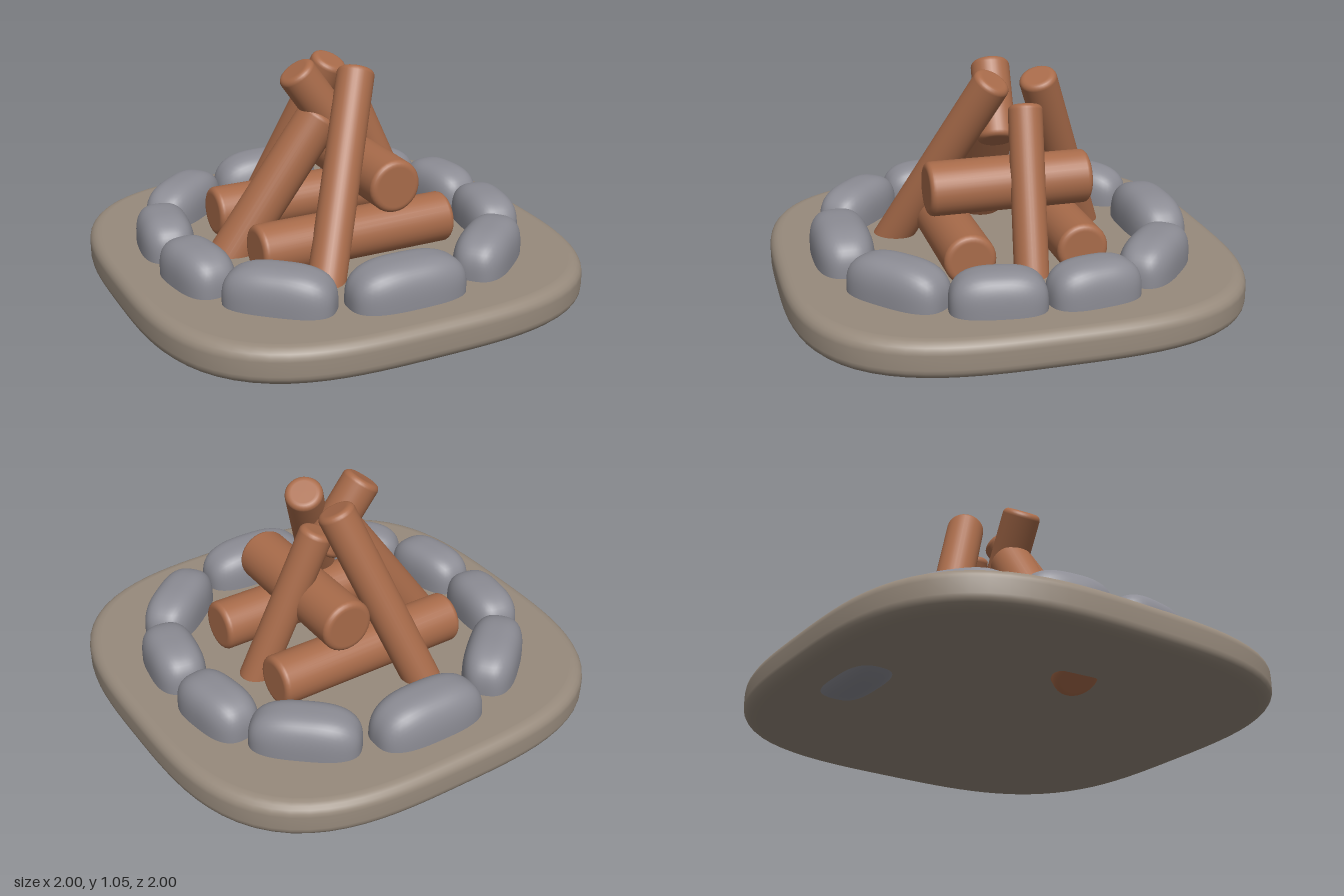
import * as THREE from 'three';
import { mergeVertices } from 'three/addons/utils/BufferGeometryUtils.js';

const mat = (name, color) => new THREE.MeshStandardMaterial({ name, color });

// weld seams and recompute smooth normals
function smooth(geo) {
  geo.deleteAttribute('uv');
  geo.deleteAttribute('normal');
  const g = mergeVertices(geo, 1e-4);
  g.computeVertexNormals();
  return g;
}

// upright solid of revolution with rounded rims, from y0 to y1
function roundedDisc(radius, y0, y1, bevel, sides) {
  const p = [new THREE.Vector2(0, y0), new THREE.Vector2(radius - bevel - 0.005, y0)];
  for (const [cy, start] of [[y0 + bevel, -Math.PI / 2], [y1 - bevel, 0]]) {
    for (let i = 0; i <= 5; i++) {
      const a = start + (i / 5) * Math.PI / 2;
      p.push(new THREE.Vector2(radius - bevel + bevel * Math.cos(a), cy + bevel * Math.sin(a)));
    }
  }
  p.push(new THREE.Vector2(radius - bevel - 0.005, y1), new THREE.Vector2(0, y1));
  return new THREE.LatheGeometry(p, sides);
}

// squarish ground slab: a disc pushed out to a superellipse
function slabGeometry() {
  const geo = roundedDisc(1, 0.085, 0.245, 0.05, 96);
  const pos = geo.attributes.position, n = 3.2;
  for (let i = 0; i < pos.count; i++) {
    const x = pos.getX(i), z = pos.getZ(i), r = Math.hypot(x, z);
    if (r < 1e-6) continue;
    const k = Math.pow(Math.abs(x / r) ** n + Math.abs(z / r) ** n, -1 / n);
    pos.setX(i, x * k);
    pos.setZ(i, z * k);
  }
  return smooth(geo);
}

// boxy pebble: a unit sphere pushed out to a superellipsoid
function pebbleGeometry() {
  const geo = new THREE.IcosahedronGeometry(1, 10);
  const pos = geo.attributes.position, v = new THREE.Vector3(), n = 2.9;
  for (let i = 0; i < pos.count; i++) {
    v.fromBufferAttribute(pos, i);
    const sum = Math.abs(v.x) ** n + Math.abs(v.y) ** n + Math.abs(v.z) ** n;
    v.multiplyScalar(Math.pow(sum, -1 / n));
    pos.setXYZ(i, v.x, v.y, v.z);
  }
  return smooth(geo);
}

// log running between two points
function makeLog(name, a, b, radius, material) {
  const from = new THREE.Vector3(...a), to = new THREE.Vector3(...b);
  const dir = to.clone().sub(from);
  const mesh = new THREE.Mesh(smooth(roundedDisc(radius, 0, dir.length(), 0.025, 32)), material);
  mesh.name = name;
  mesh.position.copy(from);
  mesh.quaternion.setFromUnitVectors(new THREE.Vector3(0, 1, 0), dir.normalize());
  return mesh;
}

export function createModel() {
  const earth = mat('earth', 0x978a7c);
  const rock = mat('rock', 0x8c8c94);
  const wood = mat('wood', 0xa86b4a);
  const model = new THREE.Group();
  model.name = 'campfire';

  const slab = new THREE.Mesh(slabGeometry(), earth);
  slab.name = 'groundSlab';
  model.add(slab);

  // ring of stones
  const ring = new THREE.Group();
  ring.name = 'stoneRing';
  const pebble = pebbleGeometry();
  const addStone = (x, z, turn, size, y = 0.262) => {
    const stone = new THREE.Mesh(pebble, rock);
    stone.name = 'stone';
    stone.position.set(x, y, z);
    stone.rotation.y = turn;
    stone.scale.set(...size);
    ring.add(stone);
  };
  addStone(0, 0.71, 0, [0.26, 0.16, 0.13]);
  addStone(0, -0.72, 0, [0.26, 0.187, 0.13], 0.237);
  for (const sx of [-1, 1]) {
    for (const sz of [-1, 1]) {
      addStone(sx * 0.49, sz * 0.555, sx * sz * 0.71, [0.235, 0.155, 0.12]);
      addStone(sx * 0.705, sz * 0.2 - 0.005, sx * sz * 1.42, [0.2, 0.152, 0.118]);
    }
  }
  model.add(ring);

  // stacked and leaning logs
  const logs = new THREE.Group();
  logs.name = 'logs';
  const list = [
    ['frontLyingLog', [-0.46, 0.345, 0.24], [0.455, 0.345, 0.24], 0.112],
    ['backLyingLog', [-0.46, 0.345, -0.25], [0.455, 0.345, -0.25], 0.112],
    ['crossLog', [0.147, 0.57, -0.36], [0.147, 0.57, 0.36], 0.118],
    ['frontLeaningLog', [-0.27, 0.13, 0.49], [0.11, 1.02, 0.05], 0.083],
    ['backLeaningLog', [-0.19, 0.2, -0.46], [0.085, 1.02, -0.15], 0.083],
    ['rightLeaningLog', [-0.57, 0.075, -0.04], [-0.04, 0.83, 0.01], 0.098],
    ['rightLogStub', [0.05, 0.73, 0.02], [-0.16, 1.035, -0.005], 0.086],
    ['leftLeaningLog', [0.43, 0.2, -0.03], [0.125, 0.905, -0.085], 0.075],
  ];
  for (const [name, a, b, r] of list) logs.add(makeLog(name, a, b, r, wood));
  model.add(logs);

  return model;
}
